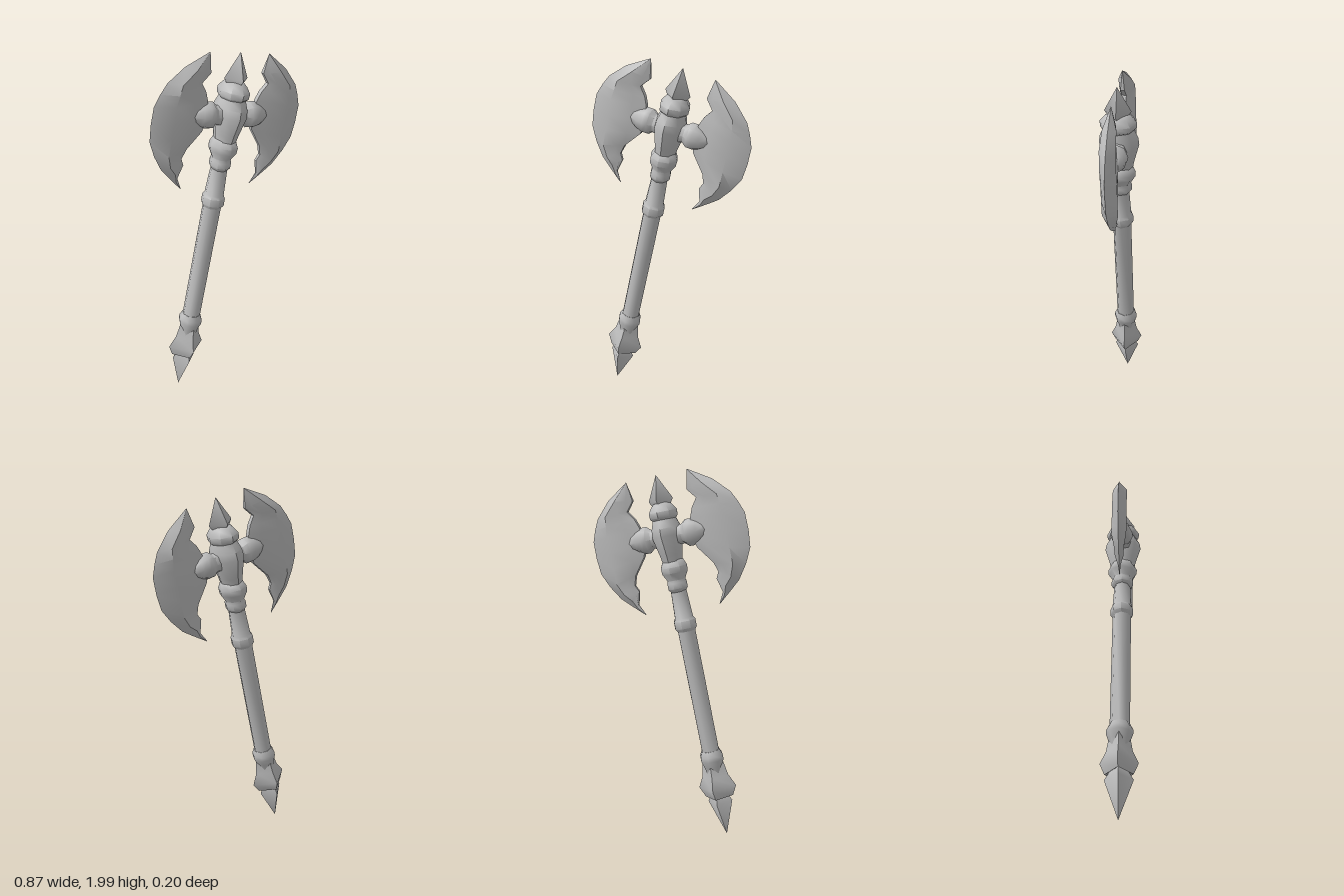
import * as THREE from 'three';
import { toCreasedNormals } from 'three/addons/utils/BufferGeometryUtils.js';

const steel = new THREE.MeshStandardMaterial({ color: 0xbcbcbc });
steel.name = 'grey steel';

// Turned part: profile of [radius, height] pairs, low side count, optional depth scale
function turned(name, profile, sides, depth = 1) {
  const points = profile.map(([r, y]) => new THREE.Vector2(r, y));
  const geometry = new THREE.LatheGeometry(points, sides);
  geometry.scale(1, 1, depth);
  const mesh = new THREE.Mesh(toCreasedNormals(geometry, 0.9), steel);
  mesh.name = name;
  return mesh;
}

// Blade stations from upper to lower tip: [outer x, outer y, inner x, inner y]
const bladeStations = [
  [0.172, 2.0, 0.17, 1.995],
  [0.294, 1.926, 0.153, 1.9],
  [0.376, 1.845, 0.195, 1.85],
  [0.405, 1.79, 0.163, 1.806],
  [0.429, 1.73, 0.145, 1.76],
  [0.432, 1.64, 0.13, 1.68],
  [0.425, 1.553, 0.15, 1.603],
  [0.388, 1.475, 0.222, 1.511],
  [0.337, 1.4, 0.238, 1.46],
  [0.29, 1.358, 0.221, 1.426],
  [0.25, 1.324, 0.24, 1.352],
  [0.212, 1.292, 0.21, 1.294],
];
// Cross-section from cutting edge to inner edge: [fraction, half thickness]
const bladeSection = [
  [0, 0], [0.35, 0.04], [0.75, 0.027], [1, 0.012],
  [1, -0.012], [0.75, -0.027], [0.35, -0.04],
];

function bladeGeometry() {
  const positions = [], index = [];
  const n = bladeSection.length;
  for (const [ox, oy, ix, iy] of bladeStations) {
    const taper = Math.min(1, Math.hypot(ox - ix, oy - iy) / 0.17);
    for (const [t, z] of bladeSection) {
      positions.push(ox + (ix - ox) * t, oy + (iy - oy) * t, z * taper);
    }
  }
  for (let i = 0; i < bladeStations.length - 1; i++) {
    for (let j = 0; j < n; j++) {
      const a = i * n + j, b = i * n + (j + 1) % n;
      index.push(a, b, a + n, b, b + n, a + n);
    }
  }
  // Close both tips
  const last = (bladeStations.length - 1) * n;
  for (let j = 1; j < n - 1; j++) {
    index.push(0, j + 1, j, last, last + j, last + j + 1);
  }
  const geometry = new THREE.BufferGeometry();
  geometry.setAttribute('position', new THREE.Float32BufferAttribute(positions, 3));
  geometry.setIndex(index);
  return toCreasedNormals(geometry, 0.6);
}

export function createModel() {
  const model = new THREE.Group();
  model.name = 'doubleAxe';

  // Everything is built upright along the shaft, then leaned to one side
  const axe = new THREE.Group();
  axe.name = 'leaningAxe';
  axe.position.set(-0.35, 0.005, 0);
  axe.rotation.z = -0.211;
  model.add(axe);

  // Pommel: four-sided spike in a flared four-sided guard
  axe.add(turned('pommelSpike', [[0, 0], [0.07, 0.2], [0.035, 0.26], [0, 0.26]], 4));
  axe.add(turned('pommelGuard', [
    [0, 0.25], [0.04, 0.25], [0.08, 0.228], [0.108, 0.285], [0.075, 0.35], [0.06, 0.43], [0, 0.43],
  ], 4, 0.86));
  axe.add(turned('pommelCollar', [
    [0.04, 0.34], [0.054, 0.41], [0.066, 0.445], [0.066, 0.47], [0.052, 0.5], [0.04, 0.5],
  ], 8));

  // Shaft with a grip ring and a tapered neck
  axe.add(turned('shaft', [[0.05, 0.46], [0.05, 1.2]], 8));
  axe.add(turned('gripRing', [
    [0.045, 1.17], [0.062, 1.195], [0.062, 1.235], [0.052, 1.25], [0.043, 1.43],
  ], 8));
  axe.add(turned('neckCollar', [
    [0.04, 1.39], [0.055, 1.41], [0.055, 1.44], [0.05, 1.455], [0.072, 1.495],
    [0.074, 1.525], [0.058, 1.56], [0.04, 1.57],
  ], 8, 1.1));

  // Head hub and its cap ring
  axe.add(turned('headHub', [
    [0.055, 1.55], [0.062, 1.59], [0.084, 1.69], [0.08, 1.73], [0.064, 1.775],
  ], 8, 1.22));
  axe.add(turned('capRing', [
    [0.05, 1.76], [0.076, 1.785], [0.078, 1.815], [0.058, 1.845], [0.042, 1.86], [0, 1.86],
  ], 8, 1.2));
  axe.add(turned('topSpike', [
    [0, 1.835], [0.042, 1.835], [0.068, 1.875], [0, 2.004],
  ], 4));

  // Mirrored blades, each on a ringed socket
  const blade = bladeGeometry();
  for (const side of ['left', 'right']) {
    const wing = new THREE.Group();
    wing.name = side + 'Wing';
    if (side === 'right') wing.rotation.y = Math.PI;

    const bladeMesh = new THREE.Mesh(blade, steel);
    bladeMesh.name = side + 'Blade';
    wing.add(bladeMesh);

    const socket = turned(side + 'Socket', [
      [0.065, 0.03], [0.05, 0.085], [0.07, 0.11], [0.07, 0.135], [0.058, 0.17], [0.03, 0.215], [0, 0.215],
    ], 8, 0.9);
    socket.rotation.z = -Math.PI / 2;
    socket.position.y = 1.685;
    wing.add(socket);
    axe.add(wing);
  }
  return model;
}
